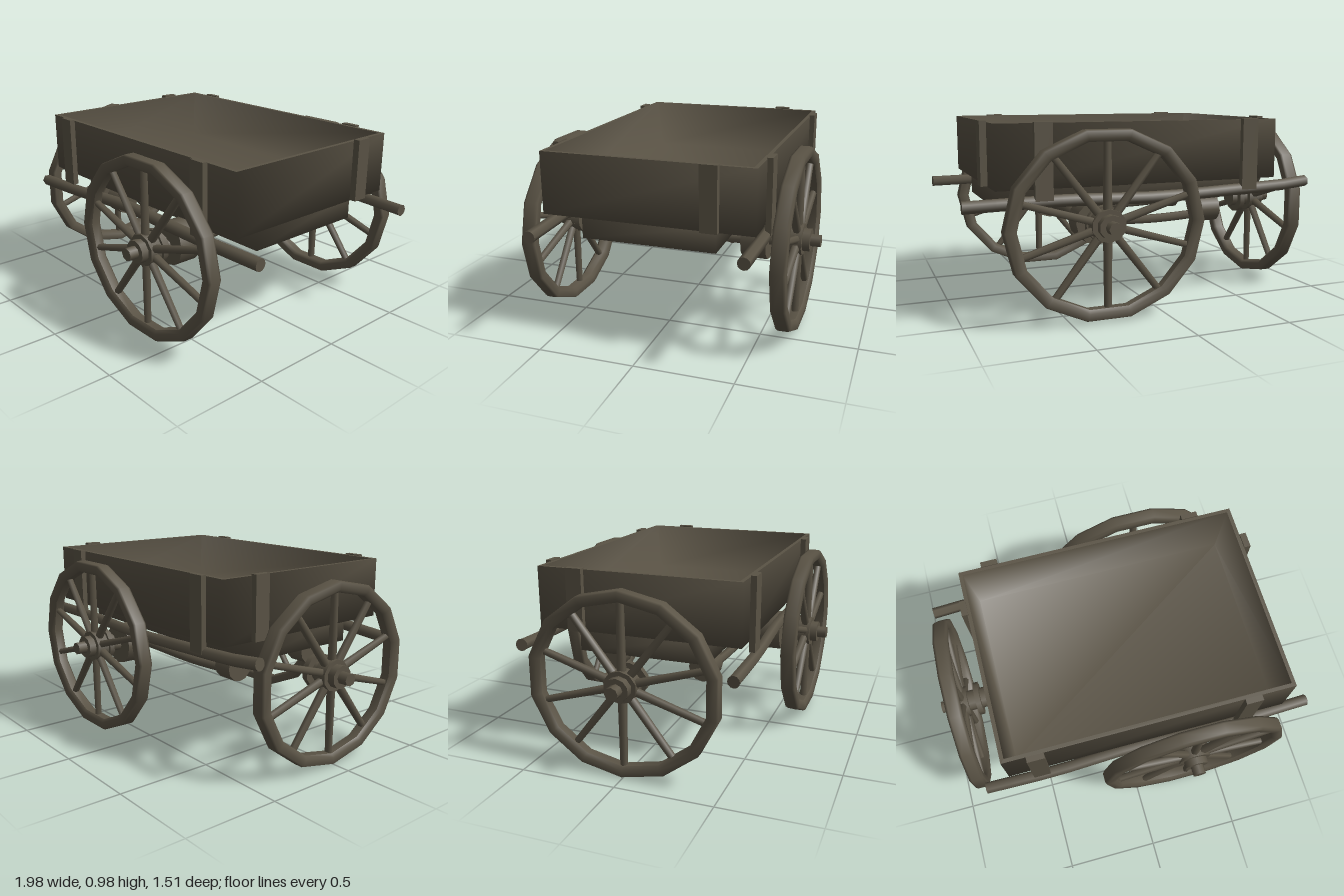
import * as THREE from 'three';

const wood = new THREE.MeshStandardMaterial({ color: 0x5a5345 });
wood.name = 'weathered wood';

function add(parent, name, geometry, x = 0, y = 0, z = 0) {
  const mesh = new THREE.Mesh(geometry, wood);
  mesh.name = name;
  mesh.position.set(x, y, z);
  parent.add(mesh);
  return mesh;
}

// cylinder lying along z, from z0 to z1
function zCylinder(radius, z0, z1, sides = 10) {
  return new THREE.CylinderGeometry(radius, radius, z1 - z0, sides)
    .rotateX(Math.PI / 2).translate(0, 0, (z0 + z1) / 2);
}

// slightly crooked pole through a few points, with closed ends
function pole(parent, name, points, radius, sides = 6) {
  const group = new THREE.Group();
  group.name = name;
  const curve = new THREE.CatmullRomCurve3(points.map(p => new THREE.Vector3(...p)));
  add(group, name + 'Shaft', new THREE.TubeGeometry(curve, 12, radius, sides));
  for (const t of [0, 1]) {
    const p = curve.getPoint(t);
    const cap = add(group, name + 'End', new THREE.CircleGeometry(radius, 12), p.x, p.y, p.z);
    cap.lookAt(p.clone().addScaledVector(curve.getTangent(t), t ? 1 : -1));
  }
  parent.add(group);
}

// bevelled rim section: radius, offset along the axle
const rimProfile = [[0.452, 0.022], [0.452, -0.022], [0.47, -0.038], [0.508, -0.038],
  [0.515, -0.025], [0.515, 0.025], [0.508, 0.038], [0.47, 0.038], [0.452, 0.022]]
  .map(p => new THREE.Vector2(...p));

// wheel around the z axis with its outer side facing +z
function wheel(name, turn, flangeOffset) {
  const group = new THREE.Group();
  group.name = name;
  add(group, 'rim', new THREE.LatheGeometry(rimProfile, 14).rotateX(Math.PI / 2).rotateZ(turn));
  for (let i = 0; i < 10; i++) {
    const spoke = new THREE.CylinderGeometry(0.019, 0.023, 0.4, 6)
      .translate(0, 0.27, 0).rotateZ(i * Math.PI / 5);
    add(group, 'spoke', spoke);
  }
  add(group, 'hub', zCylinder(0.09, -0.035, 0.03));
  add(group, 'hubCap', zCylinder(0.065, 0.03, 0.068));
  add(group, 'axleStub', zCylinder(0.036, 0.06, 0.118, 8));
  add(group, 'innerHub', zCylinder(0.06, -flangeOffset - 0.06, -0.03));
  add(group, 'innerFlange', zCylinder(0.098, -flangeOffset - 0.028, -flangeOffset));
  return group;
}

// rectangle corners, counter-clockwise seen from above
function ring(x0, x1, z0, z1, y) {
  return [[x0, y, z1], [x1, y, z1], [x1, y, z0], [x0, y, z0]];
}

// smooth shell through stacked rectangles
function shell(rings, closeBottom, closeTop) {
  const geometry = new THREE.BufferGeometry();
  geometry.setAttribute('position', new THREE.Float32BufferAttribute(rings.flat(2), 3));
  const index = [];
  for (let r = 0; r < rings.length - 1; r++) {
    for (let i = 0; i < 4; i++) {
      const a = r * 4 + i, b = r * 4 + (i + 1) % 4;
      index.push(a, b, b + 4, a, b + 4, a + 4);
    }
  }
  const t = (rings.length - 1) * 4;
  if (closeBottom) index.push(0, 2, 1, 0, 3, 2);
  if (closeTop) index.push(t, t + 1, t + 2, t, t + 2, t + 3);
  geometry.setIndex(index);
  geometry.computeVertexNormals();
  return geometry;
}

export function createModel() {
  const cart = new THREE.Group();
  cart.name = 'cart';

  // open cargo bed with sloping inner walls and a floor
  const outerTop = ring(-0.69, 0.835, -0.545, 0.525, 0.975);
  const rimTop = ring(-0.67, 0.815, -0.525, 0.505, 0.975);
  const floorEdge = ring(-0.63, 0.77, -0.485, 0.462, 0.71);
  add(cart, 'bedOutside', shell([ring(-0.69, 0.835, -0.545, 0.525, 0.66), outerTop], true, false));
  add(cart, 'bedRim', shell([outerTop, rimTop], false, false));
  add(cart, 'bedInside', shell([rimTop, floorEdge], false, true));
  add(cart, 'underFrame', shell([ring(-0.64, 0.79, -0.345, 0.34, 0.54),
    ring(-0.64, 0.79, -0.345, 0.34, 0.665)], true, false));

  // upright straps on the sides and ends of the box
  for (const x of [-0.52, 0.605]) {
    add(cart, 'sideStrap', new THREE.BoxGeometry(0.09, 0.375, 0.03), x, 0.793, 0.54);
    add(cart, 'sideStrap', new THREE.BoxGeometry(0.09, 0.375, 0.03), x, 0.793, -0.558);
  }
  for (const x of [-0.702, 0.852]) {
    add(cart, 'endStrap', new THREE.BoxGeometry(0.034, 0.32, 0.085), x, 0.823, -0.33);
  }

  // long side rails
  pole(cart, 'frontRail', [[-0.83, 0.547, 0.53], [-0.45, 0.57, 0.54], [0, 0.6, 0.53],
    [0.5, 0.595, 0.535], [0.99, 0.59, 0.52]], 0.031);
  pole(cart, 'backRail', [[-0.91, 0.628, -0.52], [-0.75, 0.615, -0.535], [-0.45, 0.605, -0.545],
    [0, 0.59, -0.545], [0.5, 0.6, -0.545], [0.99, 0.59, -0.53]], 0.031);

  // main axle with its bearing blocks
  pole(cart, 'axle', [[0.31, 0.47, -0.6], [0.31, 0.45, -0.3], [0.31, 0.465, 0],
    [0.31, 0.45, 0.3], [0.31, 0.47, 0.6]], 0.031, 8);
  for (const s of [-1, 1]) {
    add(cart, 'axleBlock', zCylinder(0.115, -0.066, 0.066, 12), 0.31, 0.47, s * 0.43);
    add(cart, 'rearBlock', zCylinder(0.074, -0.055, 0.055, 12).rotateY(Math.PI / 2),
      -0.425, 0.464, s * 0.26);
    pole(cart, 'braceRod', [[-0.42, 0.437, s * 0.26], [-0.1, 0.425, s * 0.27],
      [0.31, 0.44, s * 0.29]], 0.025);
  }

  // two side wheels and one end wheel
  for (const s of [-1, 1]) {
    const side = wheel('sideWheel', Math.PI / 14, 0.04);
    side.position.set(0.313, 0.482, s > 0 ? 0.633 : -0.643);
    side.scale.set(1, 0.922, 1);
    if (s < 0) side.rotation.y = Math.PI;
    cart.add(side);
  }
  const end = wheel('endWheel', 0, 0.077);
  end.position.set(-0.87, 0.472, -0.005);
  end.rotation.y = -Math.PI / 2;
  end.scale.set(0.97, 0.908, 1.02);
  cart.add(end);

  return cart;
}
